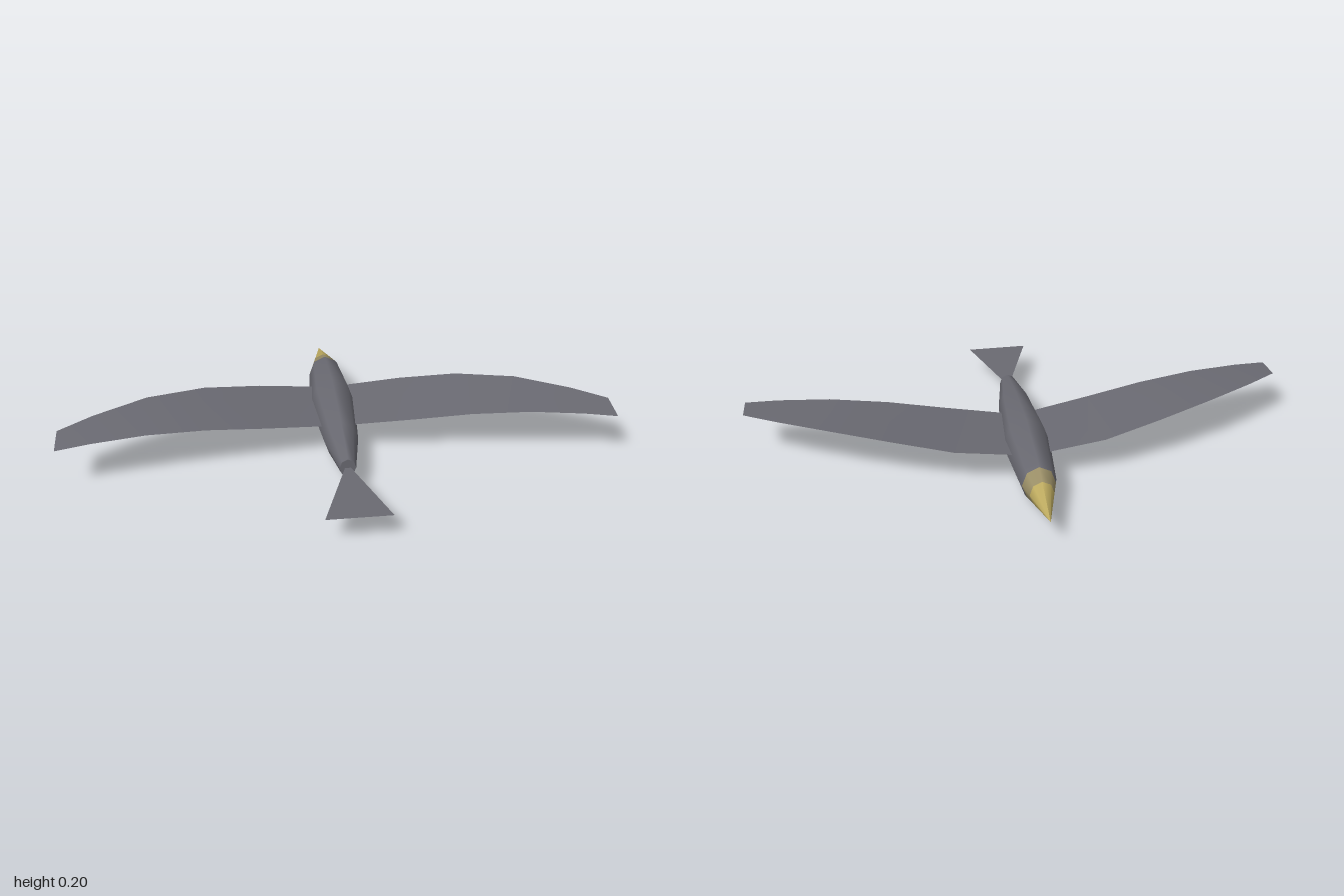
import * as THREE from 'three';

const slate = new THREE.MeshStandardMaterial({ color: 0x6a6a72, side: THREE.DoubleSide });
slate.name = 'slate feathers';
const dullGold = new THREE.MeshStandardMaterial({ color: 0x9c9068 });
dullGold.name = 'dull gold';
const gold = new THREE.MeshStandardMaterial({ color: 0xbfac60 });
gold.name = 'beak gold';

const AXIS_Y = 0.1;

// Eight-sided hull along z from [z, radius] pairs, tail (+z) to beak (-z)
function hull(name, profile, material) {
  const points = profile.map(([z, r]) => new THREE.Vector2(r, -z));
  const geometry = new THREE.LatheGeometry(points, 8);
  geometry.rotateX(-Math.PI / 2).scale(0.85, 1, 1).translate(0, AXIS_Y, 0);
  const mesh = new THREE.Mesh(geometry, material);
  mesh.name = name;
  return mesh;
}

// Thin sheet between leading and trailing edges, facing up
function sheet(name, stations, side) {
  const positions = [];
  const index = [];
  stations.forEach(([x, zLead, yLead, zTrail, yTrail], i) => {
    positions.push(side * x, yLead, zLead, side * x, yTrail, zTrail);
    if (i === 0) return;
    const a = 2 * i - 2;
    if (side > 0) index.push(a, a + 1, a + 2, a + 2, a + 1, a + 3);
    else index.push(a, a + 2, a + 1, a + 2, a + 3, a + 1);
  });
  const geometry = new THREE.BufferGeometry();
  geometry.setAttribute('position', new THREE.Float32BufferAttribute(positions, 3));
  geometry.setIndex(index);
  geometry.computeVertexNormals();
  const mesh = new THREE.Mesh(geometry, slate);
  mesh.name = name;
  return mesh;
}

export function createModel() {
  const bird = new THREE.Group();
  bird.name = 'bird';

  // Body, blunt tail end and beak share one taper
  bird.add(hull('body', [[0.32, 0.034], [0.13, 0.073], [-0.14, 0.1], [-0.38, 0.075], [-0.4, 0.069]], slate));
  bird.add(hull('bodyEnd', [[0.32, 0], [0.32, 0.034]], slate));
  bird.add(hull('beakBase', [[-0.4, 0.069], [-0.46, 0.05]], dullGold));
  bird.add(hull('beakTip', [[-0.46, 0.05], [-0.62, 0]], gold));

  // Swept, arched wings: x, leading z and y, trailing z and y
  const stations = [
    [0, -0.243, 0.114, 0.05, 0.111],
    [0.08, -0.24, 0.125, 0.062, 0.121],
    [0.27, -0.23, 0.146, 0.09, 0.142],
    [0.48, -0.18, 0.178, 0.121, 0.168],
    [0.69, -0.1, 0.194, 0.153, 0.181],
    [0.88, 0.005, 0.189, 0.182, 0.177],
    [1, 0.085, 0.181, 0.2, 0.168],
  ];
  bird.add(sheet('leftWing', stations, 1), sheet('rightWing', stations, -1));

  // Flat fan tail
  const fan = new THREE.Shape([
    new THREE.Vector2(0, -0.29),
    new THREE.Vector2(-0.113, -0.62),
    new THREE.Vector2(0.113, -0.62),
  ]);
  const tail = new THREE.Mesh(new THREE.ShapeGeometry(fan).rotateX(-Math.PI / 2), slate);
  tail.name = 'tail';
  tail.position.y = AXIS_Y;
  bird.add(tail);

  return bird;
}
